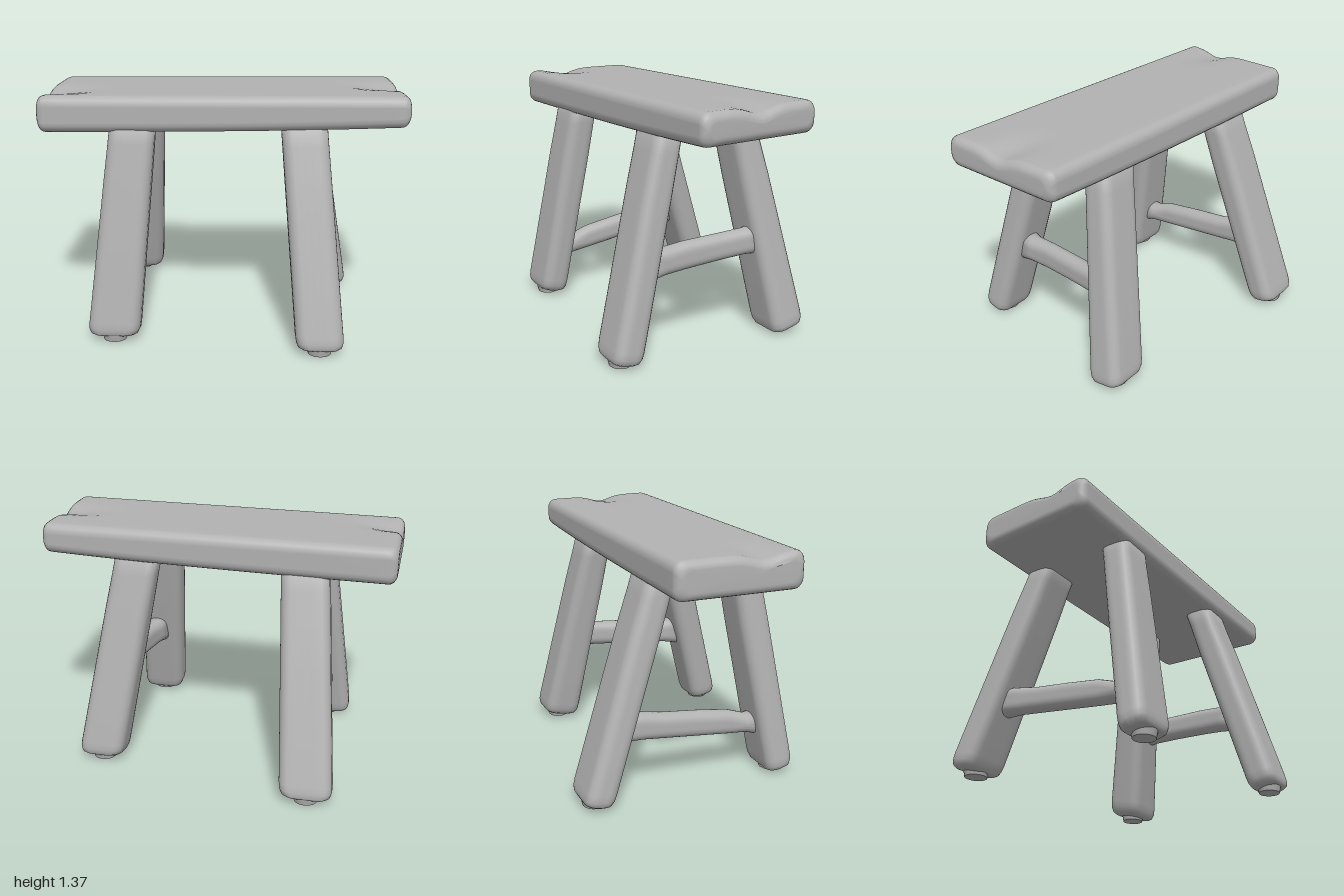
import * as THREE from 'three';

// Rounded rectangle outline (u, v), counter-clockwise, with points along each edge
function outline(hu, hv, r, edge = 4, arc = 5) {
  const pts = [];
  r = Math.min(r, hu * 0.98, hv * 0.98);
  const corners = [[1, 1], [-1, 1], [-1, -1], [1, -1]];
  corners.forEach(([su, sv], c) => {
    for (let i = 0; i <= arc; i++) {
      const a = (c + i / arc) * Math.PI / 2;
      pts.push([su * (hu - r) + r * Math.cos(a), sv * (hv - r) + r * Math.sin(a)]);
    }
    const [nu, nv] = corners[(c + 1) % 4];
    const a = (c + 1) * Math.PI / 2;
    const from = pts[pts.length - 1];
    const to = [nu * (hu - r) + r * Math.cos(a), nv * (hv - r) + r * Math.sin(a)];
    for (let i = 1; i < edge; i++) {
      const t = i / edge;
      pts.push([from[0] + (to[0] - from[0]) * t, from[1] + (to[1] - from[1]) * t]);
    }
  });
  return pts;
}

// Smooth skin through equal-length rings of [x, y, z], closed at both ends
function loft(rings) {
  const n = rings[0].length, last = rings.length - 1;
  const pos = rings.flat(2), index = [];
  for (let k = 0; k < last; k++) {
    for (let i = 0; i < n; i++) {
      const a = k * n + i, b = k * n + (i + 1) % n;
      index.push(a, b, b + n, a, b + n, a + n);
    }
  }
  [0, last].forEach((k, e) => {
    const c = pos.length / 3;
    for (let j = 0; j < 3; j++) pos.push(rings[k].reduce((s, p) => s + p[j], 0) / n);
    for (let i = 0; i < n; i++) {
      const a = k * n + i, b = k * n + (i + 1) % n;
      if (e) index.push(c, a, b); else index.push(c, b, a);
    }
  });
  const g = new THREE.BufferGeometry();
  g.setAttribute('position', new THREE.Float32BufferAttribute(pos, 3));
  g.setIndex(index);
  g.computeVertexNormals();
  return g;
}

const lerp = THREE.MathUtils.lerp;

// Thick plank, slightly tilted, with a worn hollow at both ends
function seatGeometry() {
  const r = 0.045, stations = [];
  for (let i = 0; i <= 5; i++) {
    const a = i / 5 * Math.PI / 2;
    stations.push([-1 + r * (1 - Math.sin(a)), r * (1 - Math.cos(a))]);
  }
  const left = stations.map(([x, s]) => [x, r - s]).map(([x, s], i) => [x, r * (1 - Math.sin(i / 5 * Math.PI / 2)) , s]);
  const ends = left.map((_, i) => {
    const a = i / 5 * Math.PI / 2;
    return [-1 + r * (1 - Math.cos(a)), r * (1 - Math.sin(a))];
  });
  const middle = [];
  for (let x = -0.9; x < 0.91; x += 0.1) middle.push([x, 0]);
  const all = [...ends, ...middle, ...ends.map(([x, s]) => [-x, s]).reverse()];
  return loft(all.map(([x, inset]) => {
    const t = (x + 1) / 2;
    const bottom = 1.153 + 0.028 * t + 0.024 * t ** 3, top = lerp(1.352, 1.37, t);
    const back = lerp(-0.325, -0.302, t), front = lerp(0.375, 0.415, t);
    const cy = (bottom + top) / 2, cz = (back + front) / 2;
    const hy = (top - bottom) / 2 - inset, hz = (front - back) / 2 - inset;
    const wear = THREE.MathUtils.smoothstep(Math.abs(x), 0.65, 1);
    const hollowZ = x < 0 ? 0.15 : 0.06;
    return outline(hy, hz, 0.05, 14).map(([u, v]) => {
      const z = cz + v;
      const dip = u > 0 ? wear * 0.035 * Math.exp(-(((z - hollowZ) / 0.09) ** 2)) * u / hy : 0;
      return [x * (1 - 0.035 * (0.4 - z)), cy + u - dip, z];
    });
  }));
}

// Splayed leg between a foot centre and a top centre [x, z], sizes are [half x, half z]
function legGeometry({ foot, top, footSize, topSize }) {
  const tilt = Math.sign(foot[1]) * 0.2;
  const levels = [[0.025, 0.6], [0.028, 0.78], [0.04, 0.91], [0.065, 0.98], [0.1, 1],
    [0.3, 1], [0.5, 1], [0.7, 1], [0.9, 1], [1.1, 1], [1.23, 1]];
  return loft(levels.map(([y, s]) => {
    const t = (y - 0.05) / 1.13;
    const hx = lerp(footSize[0], topSize[0], t) * s, hz = lerp(footSize[1], topSize[1], t) * s;
    const cx = lerp(foot[0], top[0], t), cz = lerp(foot[1], top[1], t);
    return outline(hz, hx, 0.055).map(([u, v]) => [cx + v, y + tilt * u * (y < 1.1 ? 1 : 0), cz + u]);
  }));
}

// Rail running along z through stations [x, low y, high y, z, half width]
function railGeometry(stations) {
  return loft(stations.map(([x, low, high, z, w]) =>
    outline(w, (high - low) / 2, 0.05).map(([u, v]) => [x + u, (low + high) / 2 + v, z])));
}

export function createModel() {
  const model = new THREE.Group();
  const wood = new THREE.MeshStandardMaterial({ color: 0xb2b2b2 });
  wood.name = 'plainGrey';
  const add = (name, geometry, parent = model) => {
    const mesh = new THREE.Mesh(geometry, wood);
    mesh.name = name;
    parent.add(mesh);
    return mesh;
  };

  add('seat', seatGeometry());

  // Four legs, each with its own splay, and a worn nub under each foot
  const legs = {
    frontLeftLeg: { foot: [0.545, 0.605], top: [0.445, 0.295], footSize: [0.13, 0.085], topSize: [0.125, 0.085] },
    backLeftLeg: { foot: [0.64, -0.385], top: [0.45, -0.185], footSize: [0.13, 0.105], topSize: [0.125, 0.085] },
    frontRightLeg: { foot: [-0.595, 0.475], top: [-0.485, 0.285], footSize: [0.145, 0.08], topSize: [0.125, 0.085] },
    backRightLeg: { foot: [-0.585, -0.605], top: [-0.495, -0.215], footSize: [0.145, 0.08], topSize: [0.13, 0.085] },
  };
  for (const [name, leg] of Object.entries(legs)) {
    const group = new THREE.Group();
    group.name = name;
    model.add(group);
    add('legShaft', legGeometry(leg), group);
    const nub = add('footNub', new THREE.CylinderGeometry(0.075, 0.065, 0.05, 16), group);
    nub.scale.z = 0.9;
    nub.position.set(leg.foot[0], 0.025, leg.foot[1]);
  }

  // Cross rails between front and back legs
  add('leftRail', railGeometry([
    [0.59, 0.47, 0.64, -0.24, 0.06], [0.58, 0.47, 0.62, -0.17, 0.05], [0.56, 0.46, 0.61, 0, 0.05],
    [0.54, 0.445, 0.6, 0.2, 0.05], [0.53, 0.435, 0.585, 0.33, 0.055], [0.52, 0.42, 0.6, 0.42, 0.065],
  ]));
  add('rightRail', railGeometry([
    [-0.57, 0.32, 0.49, -0.48, 0.06], [-0.57, 0.31, 0.465, -0.32, 0.05], [-0.57, 0.295, 0.44, -0.2, 0.05],
    [-0.57, 0.27, 0.415, 0, 0.05], [-0.57, 0.245, 0.385, 0.2, 0.05], [-0.57, 0.235, 0.345, 0.31, 0.055],
    [-0.57, 0.21, 0.35, 0.4, 0.065],
  ]));
  return model;
}
